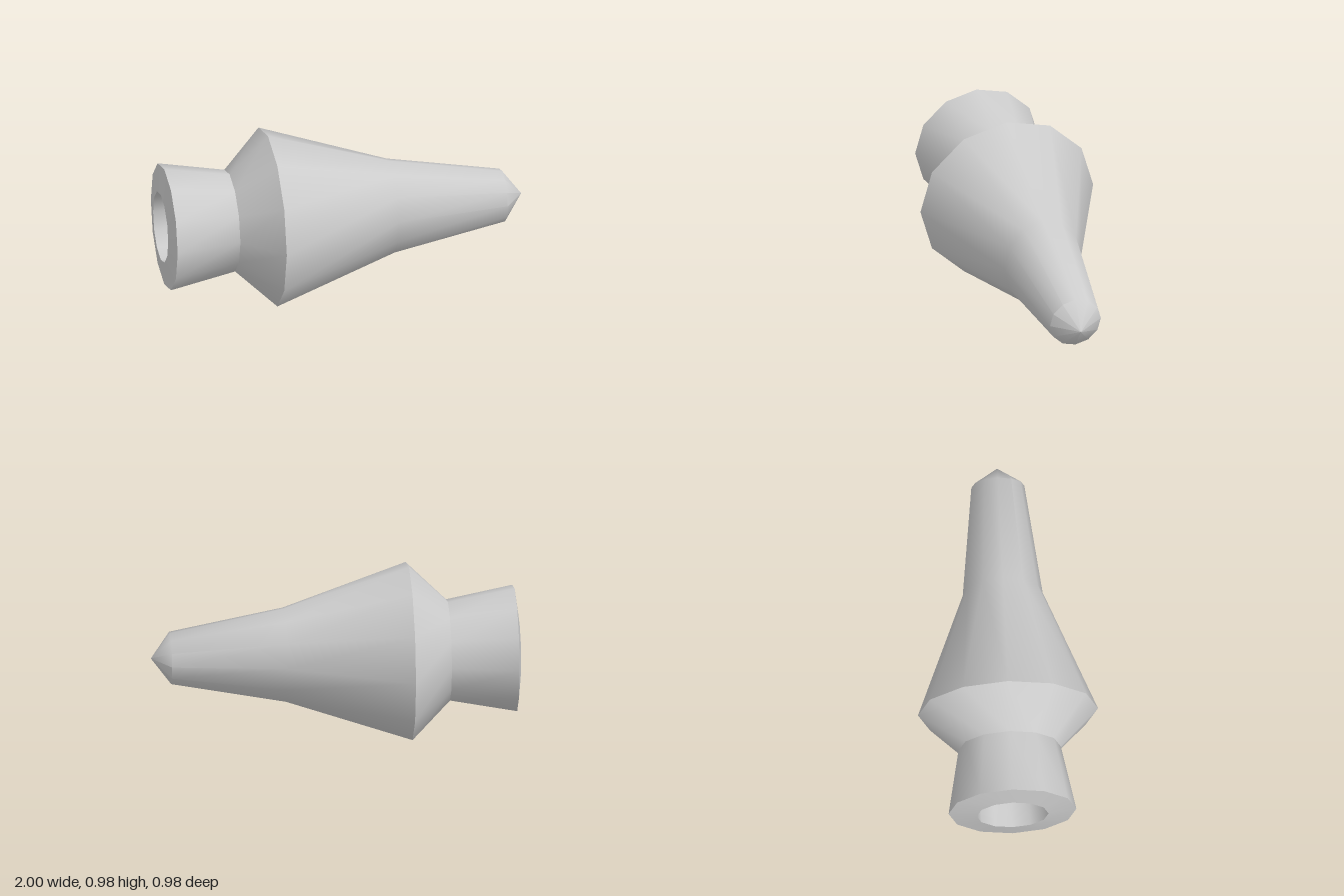
import * as THREE from 'three';
import { toCreasedNormals } from 'three/addons/utils/BufferGeometryUtils.js';

const SIDES = 12;
const AXIS_HEIGHT = 0.489;

// Turns an [x, radius] profile around the x axis, with creased edges
function turned(name, profile, material, reshape) {
  const points = profile.map(([x, r]) => new THREE.Vector2(r, x));
  const geometry = new THREE.LatheGeometry(points, SIDES);
  geometry.rotateZ(-Math.PI / 2);
  if (reshape) reshape(geometry.attributes.position);
  const mesh = new THREE.Mesh(toCreasedNormals(geometry, THREE.MathUtils.degToRad(50)), material);
  mesh.name = name;
  return mesh;
}

export function createModel() {
  const group = new THREE.Group();
  group.name = 'taperedPlug';
  const grey = new THREE.MeshStandardMaterial({ color: 0xcccccc });

  // Flared collar with a blind socket in its end
  const collar = [
    [-0.6, 0], [-0.6, 0.195], [-1, 0.195],
    [-0.98, 0.347], [-0.617, 0.278],
  ];
  group.add(turned('socketCollar', collar, grey));

  // Shoulder, long taper and pointed nose; the waist is narrower in z
  const waistX = 0.275;
  const body = [
    [-0.617, 0.278], [-0.405, 0.489], [waistX, 0.268], [0.895, 0.144], [1, 0],
  ];
  group.add(turned('taperedBody', body, grey, (position) => {
    for (let i = 0; i < position.count; i++) {
      if (Math.abs(position.getX(i) - waistX) < 0.01) position.setZ(i, position.getZ(i) * 0.81);
    }
  }));

  group.children.forEach((part) => { part.position.y = AXIS_HEIGHT; });
  return group;
}
